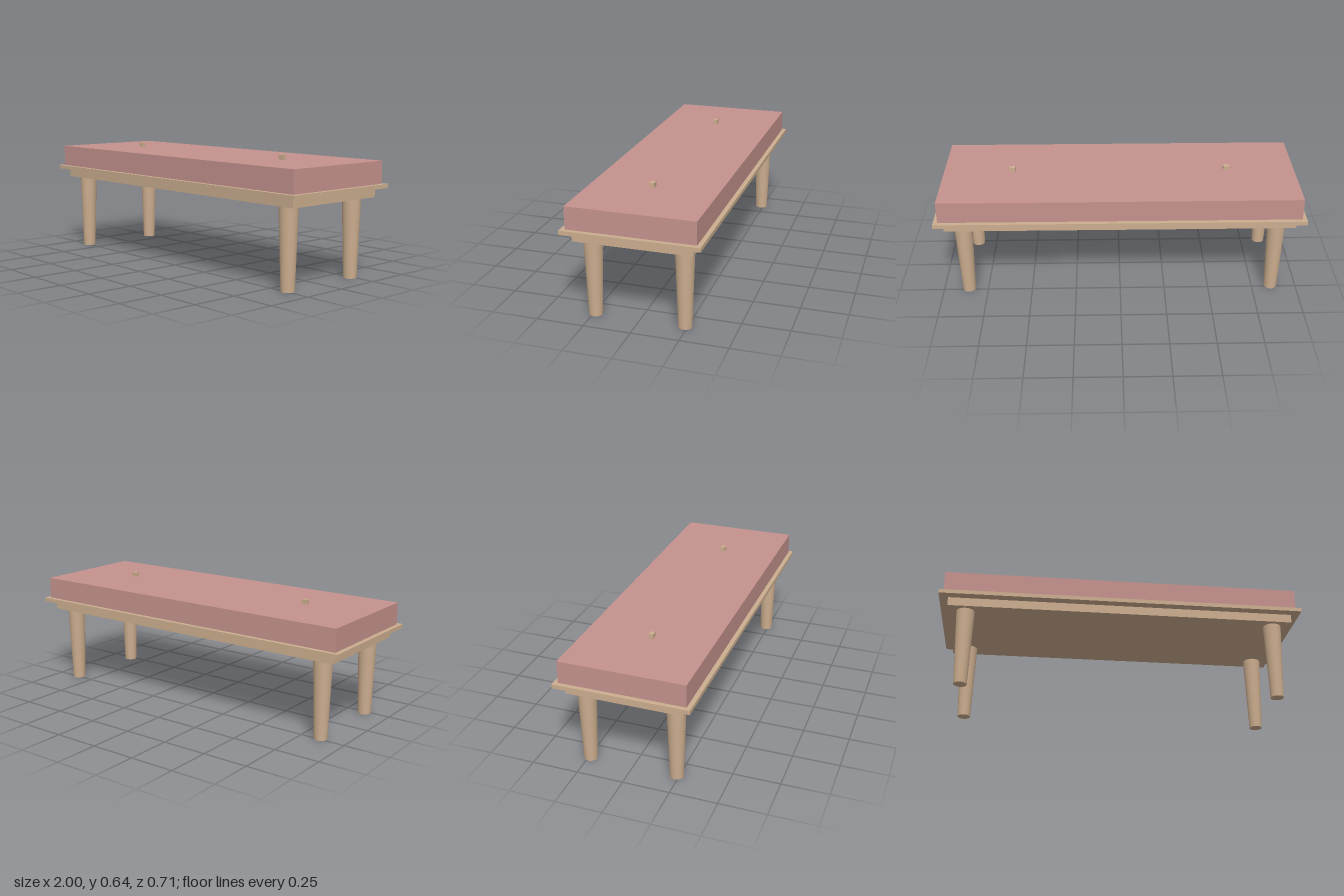
import * as THREE from 'three';

export function createModel() {
  const bench = new THREE.Group();
  bench.name = 'bench';

  const wood = new THREE.MeshStandardMaterial({ color: 0xcbad8e });
  wood.name = 'wood';
  const fabric = new THREE.MeshStandardMaterial({ color: 0xc4928d });
  fabric.name = 'rose fabric';

  const add = (name, geometry, material, x, y, z) => {
    const mesh = new THREE.Mesh(geometry, material);
    mesh.name = name;
    mesh.position.set(x, y, z);
    bench.add(mesh);
  };
  // Box given by its bottom and top heights
  const slab = (name, material, width, depth, bottom, top, x = 0, z = 0) =>
    add(name, new THREE.BoxGeometry(width, top - bottom, depth), material, x, (bottom + top) / 2, z);

  // Stacked seat: apron, board and cushion
  slab('apron', wood, 1.904, 0.618, 0.43, 0.478);
  slab('seatBoard', wood, 2, 0.714, 0.478, 0.5);
  slab('cushion', fabric, 1.952, 0.666, 0.5, 0.62);

  // Small pegs on the cushion and tapered round legs, mirrored left and right
  const legGeometry = new THREE.CylinderGeometry(0.05, 0.0357, 0.43, 32);
  for (const side of [-1, 1]) {
    const sideName = side > 0 ? 'Left' : 'Right';
    slab('peg' + sideName, wood, 0.032, 0.024, 0.62, 0.645, side * 0.596, 0.012);
    for (const end of [-1, 1]) {
      const name = (end > 0 ? 'front' : 'back') + sideName + 'Leg';
      add(name, legGeometry, wood, side * 0.857, 0.215, end * 0.238);
    }
  }
  return bench;
}
